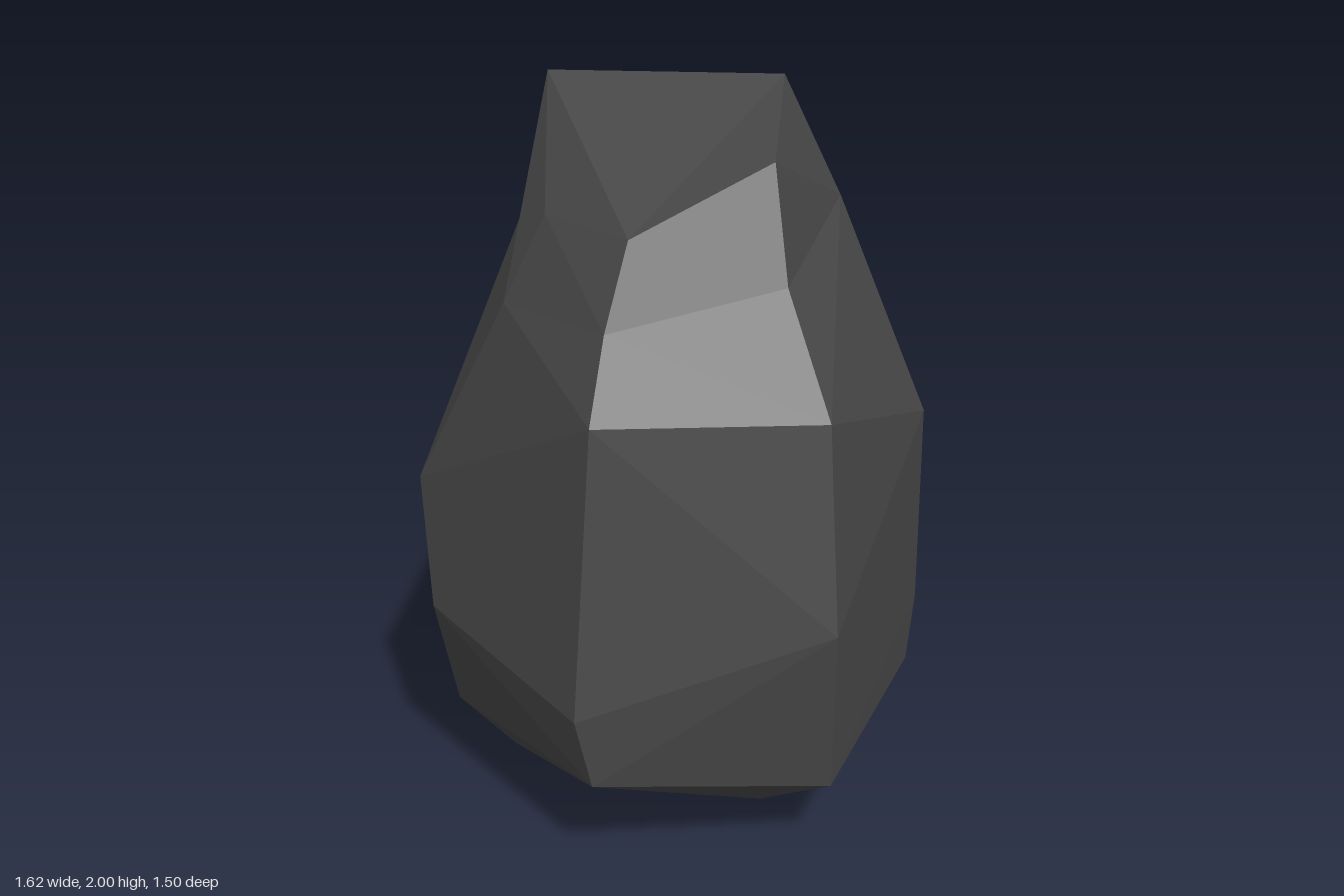
import * as THREE from 'three';

// Cross-sections of the boulder from top to bottom. Each has seven [x, y, z]
// corners: front right, front left, left, back left, back, back right, right (as seen from the front).
const rings = [
  [[.21, 1.63, .385], [-.11, 1.655, .40], [-.40, 1.99, .15], [-.34, 1.91, -.14], [-.08, 1.955, -.31], [.20, 2, -.19], [.39, 1.81, .04]],
  [[.27, 1.42, .52], [-.16, 1.42, .51], [-.51, 1.60, .16], [-.44, 1.66, -.33], [-.20, 1.52, -.57], [.30, 1.67, -.32], [.50, 1.51, .10]],
  [[.35, 1.22, .64], [-.42, .88, .64], [-.81, .88, .18], [-.61, 1.37, -.45], [-.17, .91, -.75], [.56, 1.08, -.41], [.73, 1.22, .18]],
  [[.40, .47, .75], [-.25, .56, .73], [-.75, .44, .21], [-.60, .56, -.38], [-.05, .69, -.70], [.52, .47, -.47], [.81, .68, .22]],
  [[.43, .285, .72], [-.34, .18, .60], [-.76, .08, .17], [-.56, .18, -.38], [-.07, .17, -.64], [.52, .27, -.44], [.78, .22, .19]],
  [[.16, .01, .38], [-.26, 0, .46], [-.50, 0, .24], [-.27, .03, -.09], [-.04, .05, -.42], [.46, .04, -.02], [.52, .055, .19]],
].map((ring) => ring.map((p) => new THREE.Vector3(...p)));

// Splits a quad along the diagonal that bulges outwards
function splitQuad(a, b, c, d) {
  const plane = new THREE.Plane().setFromCoplanarPoints(a, b, c);
  return plane.distanceToPoint(d) <= 0 ? [a, b, c, a, c, d] : [a, b, d, b, c, d];
}

function boulderGeometry() {
  const points = [];
  const sides = rings[0].length;

  // Side facets
  for (let i = 0; i < rings.length - 1; i++) {
    for (let j = 0; j < sides; j++) {
      const k = (j + 1) % sides;
      points.push(...splitQuad(rings[i][j], rings[i][k], rings[i + 1][k], rings[i + 1][j]));
    }
  }

  // Slanted top: a front facet and a back facet meeting at a ridge
  const top = rings[0];
  for (const i of [2, 1, 0, 2, 0, 5, 0, 6, 5, 2, 5, 4, 2, 4, 3]) points.push(top[i]);

  // Underside
  const base = rings[rings.length - 1];
  for (let n = 1; n < sides - 1; n++) {
    points.push(base[2], base[(2 + n) % sides], base[(3 + n) % sides]);
  }

  // Unshared corners keep every facet flat
  const geometry = new THREE.BufferGeometry().setFromPoints(points);
  geometry.computeVertexNormals();
  return geometry;
}

export function createModel() {
  const stone = new THREE.MeshStandardMaterial({ color: 0x454545 });
  stone.name = 'dark stone';
  stone.flatShading = true;

  const boulder = new THREE.Mesh(boulderGeometry(), stone);
  boulder.name = 'boulder';

  const model = new THREE.Group();
  model.name = 'rock';
  model.add(boulder);
  return model;
}
